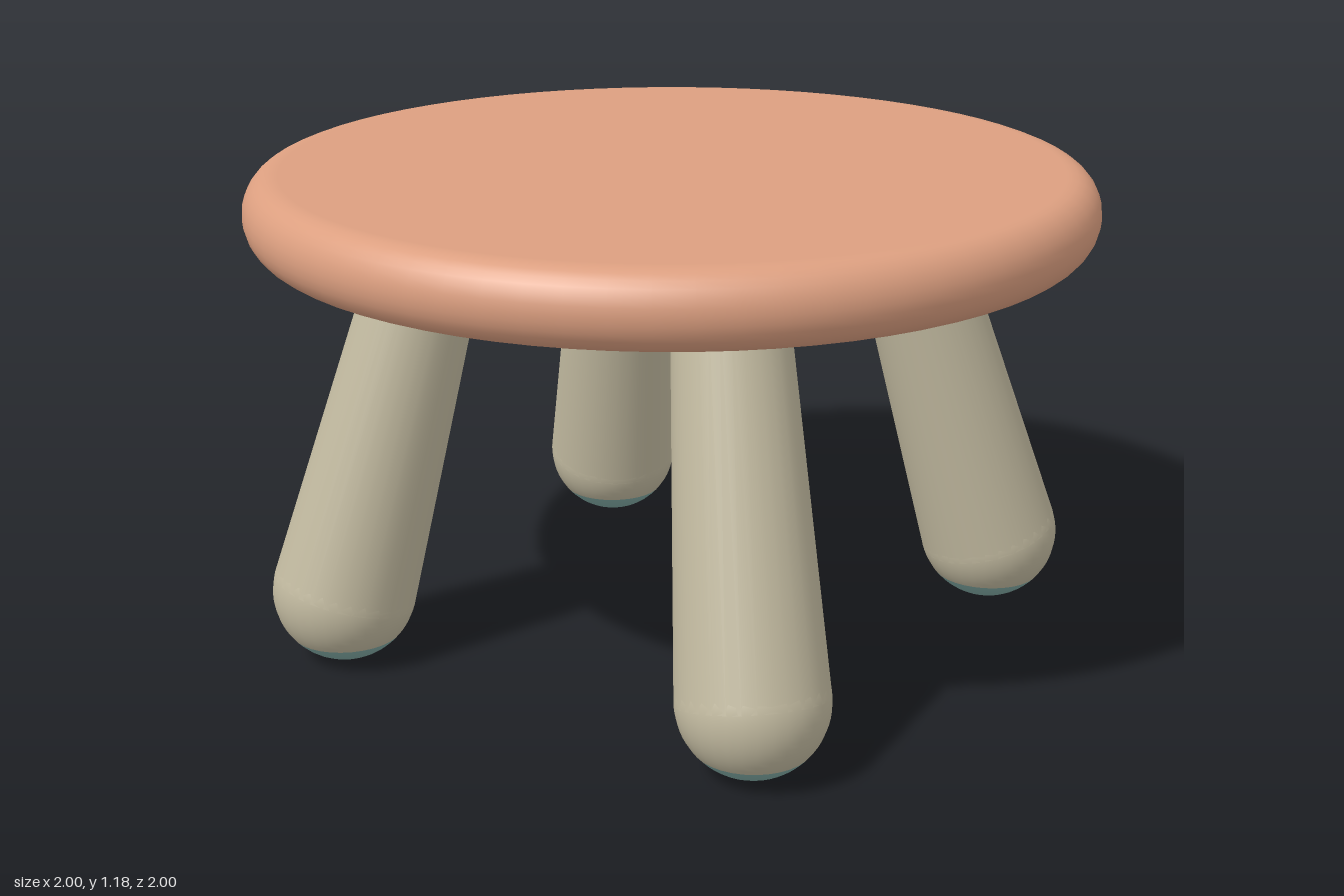
import * as THREE from 'three';

const seatMat = new THREE.MeshStandardMaterial({ color: 0xdc9f80 });
seatMat.name = 'terracotta seat';
const legMat = new THREE.MeshStandardMaterial({ color: 0xc2baa0 });
legMat.name = 'pale wood';
const padMat = new THREE.MeshStandardMaterial({ color: 0x7fa8a2 });
padMat.name = 'teal pad';

const FOOT_R = 0.172;
const TOP_R = 0.125;
const PAD_ANGLE = THREE.MathUtils.degToRad(50);

function mesh(name, geometry, material) {
  const m = new THREE.Mesh(geometry, material);
  m.name = name;
  return m;
}

// Round seat disc with a rolled rim
function makeSeat() {
  const bottom = 1.005, top = 1.18, rim = 0.075;
  const mid = (bottom + top) / 2, half = (top - bottom) / 2;
  const pts = [new THREE.Vector2(0, bottom), new THREE.Vector2(0.915, bottom)];
  for (let i = 0; i <= 14; i++) {
    const a = -Math.PI / 2 + (Math.PI * i) / 14;
    pts.push(new THREE.Vector2(1 - rim + rim * Math.cos(a), mid + half * Math.sin(a)));
  }
  pts.push(new THREE.Vector2(0.915, top), new THREE.Vector2(0, top));
  return mesh('seat', new THREE.LatheGeometry(pts, 72), seatMat);
}

// Splayed tapering leg with a ball foot and a pad where it meets the floor
function makeLeg(name, foot, top) {
  const leg = new THREE.Group();
  leg.name = name;

  const axis = top.clone().sub(foot);
  const length = axis.length();
  const shaft = mesh('shaft',
    new THREE.CylinderGeometry(TOP_R, FOOT_R, length, 32, 1, true), legMat);
  shaft.position.copy(foot).addScaledVector(axis, 0.5);
  shaft.quaternion.setFromUnitVectors(new THREE.Vector3(0, 1, 0), axis.normalize());

  // Foot band overlaps the shaft; the pad completes the ball below it
  const start = Math.PI / 3, end = Math.PI - PAD_ANGLE;
  const ball = mesh('foot',
    new THREE.SphereGeometry(FOOT_R, 32, 14, 0, Math.PI * 2, start, end - start), legMat);
  const pad = mesh('footPad',
    new THREE.SphereGeometry(FOOT_R, 32, 8, 0, Math.PI * 2, end, PAD_ANGLE), padMat);
  ball.position.copy(foot);
  pad.position.copy(foot);

  leg.add(shaft, ball, pad);
  return leg;
}

export function createModel() {
  const stool = new THREE.Group();
  stool.name = 'stool';
  stool.add(makeSeat());

  for (const [sideName, sx] of [['Left', 1], ['Right', -1]]) {
    stool.add(
      makeLeg('front' + sideName + 'Leg',
        new THREE.Vector3(sx * 0.57, FOOT_R, 0.575), new THREE.Vector3(sx * 0.395, 1.04, 0.4)),
      makeLeg('back' + sideName + 'Leg',
        new THREE.Vector3(sx * 0.58, FOOT_R, -0.605), new THREE.Vector3(sx * 0.395, 1.04, -0.4)));
  }
  return stool;
}
